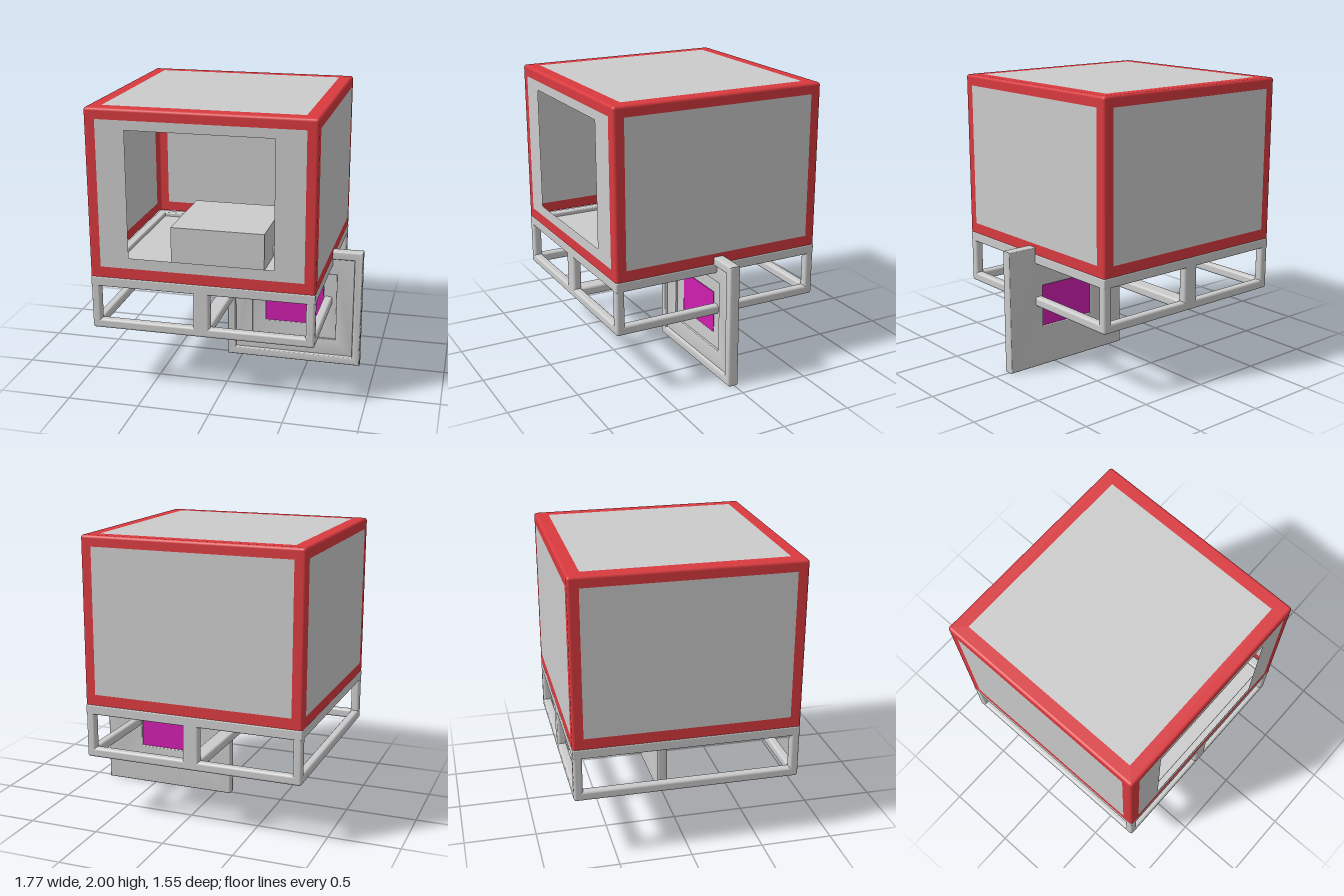
import * as THREE from 'three';
import { toCreasedNormals } from 'three/addons/utils/BufferGeometryUtils.js';
import { RoundedBoxGeometry } from 'three/addons/geometries/RoundedBoxGeometry.js';

const material = (color) => new THREE.MeshStandardMaterial({ color, side: THREE.DoubleSide });
const grey = material(0xcccccc), red = material(0xd93a3f), magenta = material(0xd01fb0);

const HALF = 0.777, SPLIT = 0.83, TOP = 2, R = 0.02;

function add(parent, name, geometry, mat, x = 0, y = 0, z = 0) {
  const mesh = new THREE.Mesh(geometry, mat);
  mesh.name = name;
  mesh.position.set(x, y, z);
  parent.add(mesh);
  return mesh;
}

// rectangle shape with an optional rectangular hole, each [x0, y0, x1, y1]
function rect([x0, y0, x1, y1], hole) {
  const corners = [[x0, y0], [x1, y0], [x1, y1], [x0, y1]].map(([x, y]) => new THREE.Vector2(x, y));
  const shape = new THREE.Shape(corners);
  if (hole) shape.holes.push(rect(hole));
  return shape;
}
const centred = (w, h) => [-w, -h, w, h];

// rounded bar given by its limits
function bar(parent, name, x0, x1, y0, y1, z0, z1, r = 0.018) {
  const geometry = new RoundedBoxGeometry(x1 - x0, y1 - y0, z1 - z0, 3, r);
  return add(parent, name, geometry, grey, (x0 + x1) / 2, (y0 + y1) / 2, (z0 + z1) / 2);
}

// plate with softened edges between z0 and z1
function plate(shape, z0, z1, b) {
  const geometry = new THREE.ExtrudeGeometry(shape, {
    depth: z1 - z0 - 2 * b, bevelEnabled: true, bevelThickness: b, bevelSize: b, bevelOffset: -b, bevelSegments: 3,
  });
  return toCreasedNormals(geometry.translate(0, 0, z0 + b), 0.7);
}

// only the rounded edges of a box: flat faces and the lower rounding are left out
function roundedEdges() {
  const bottom = SPLIT - R;
  const box = new RoundedBoxGeometry(2 * HALF, TOP - bottom, 2 * HALF, 3, R);
  box.translate(0, (TOP + bottom) / 2, 0);
  const p = box.attributes.position, n = box.attributes.normal;
  const positions = [], normals = [];
  for (let i = 0; i < p.count; i += 3) {
    const ids = [i, i + 1, i + 2];
    const flat = ids.every((k) => Math.max(Math.abs(n.getX(k)), Math.abs(n.getY(k)), Math.abs(n.getZ(k))) > 0.999);
    const low = ids.every((k) => p.getY(k) < SPLIT + 0.0001);
    if (flat || low) continue;
    for (const k of ids) {
      positions.push(p.getX(k), p.getY(k), p.getZ(k));
      normals.push(n.getX(k), n.getY(k), n.getZ(k));
    }
  }
  const geometry = new THREE.BufferGeometry();
  geometry.setAttribute('position', new THREE.Float32BufferAttribute(positions, 3));
  geometry.setAttribute('normal', new THREE.Float32BufferAttribute(normals, 3));
  return geometry;
}

// thin-walled upper cabin with red borders
function buildCabin() {
  const cabin = new THREE.Group();
  cabin.name = 'cabin';
  add(cabin, 'roundedEdges', roundedEdges(), red);

  const w = HALF - R, pw = HALF - 0.075;
  const panel = [-pw, 0.905, pw, 1.925];
  const border = new THREE.ShapeGeometry(rect([-w, SPLIT, w, TOP - R], panel));
  ['front', 'right', 'back', 'left'].forEach((side, i) => {
    const wall = new THREE.Group();
    wall.name = side + 'Wall';
    wall.rotation.y = i * Math.PI / 2;
    cabin.add(wall);
    const opening = i === 0 ? [-0.5, 0.98, 0.5, 1.86] : undefined;
    add(wall, 'wallBorder', border, red, 0, 0, HALF);
    add(wall, 'wallPanel', new THREE.ShapeGeometry(rect(panel, opening)), grey, 0, 0, HALF);
  });

  const roofPanel = centred(HALF - 0.095, HALF - 0.095);
  const roofParts = [['roofBorder', rect(centred(w, w), roofPanel), red], ['roofPanel', rect(roofPanel), grey]];
  for (const [name, shape, mat] of roofParts) {
    add(cabin, name, new THREE.ShapeGeometry(shape).rotateX(-Math.PI / 2), mat, 0, TOP, 0);
  }

  // floor and the block standing on it
  const f = 2 * HALF - 0.06;
  add(cabin, 'floor', new THREE.BoxGeometry(f, 0.03, f), grey, 0, 0.785, 0);
  add(cabin, 'innerBlock', new THREE.BoxGeometry(0.68, 0.27, 0.68), grey, 0, 0.935, 0);
  return cabin;
}

// open frame below the cabin
function buildBase() {
  const base = new THREE.Group();
  base.name = 'baseFrame';
  const inner = HALF - 0.062;
  for (const s of [-1, 1]) {
    const [a, b] = s > 0 ? [inner, HALF] : [-HALF, -inner];
    for (const [level, y0, y1, r] of [['bottom', 0.45, 0.517, 0.018], ['top', 0.76, SPLIT, 0.01]]) {
      bar(base, level + 'CrossRail', -HALF, HALF, y0, y1, a, b, r);
      bar(base, level + 'SideRail', a, b, y0, y1, -HALF, HALF, r);
    }
    bar(base, 'middlePost', -0.0575, 0.0575, 0.45, SPLIT - 0.005, a, b);
    for (const t of [-1, 1]) {
      const [c, d] = t > 0 ? [inner, HALF] : [-HALF, -inner];
      bar(base, 'cornerPost', c, d, 0.45, SPLIT, a, b);
    }
  }
  bar(base, 'middleBeam', -0.0575, 0.0575, 0.45, 0.517, -HALF + 0.01, HALF - 0.01);
  return base;
}

// upright stepped board with a coloured centre
function buildBoard() {
  const board = new THREE.Group();
  board.name = 'board';
  const outer = centred(0.4975, 0.44), rimInner = centred(0.4375, 0.3775);
  const step = centred(0.3125, 0.255), centre = centred(0.215, 0.15);
  add(board, 'boardBack', plate(rect(outer, centre), -0.03, 0.005, 0.008), grey);
  add(board, 'boardRim', plate(rect(outer, rimInner), -0.029, 0.045, 0.012), grey);
  add(board, 'boardStep', plate(rect(centred(0.445, 0.385), step), -0.01, 0.022, 0.004), grey);
  add(board, 'boardCentre', new THREE.BoxGeometry(0.43, 0.3, 0.025), magenta, 0, 0, -0.007);
  return board;
}

export function createModel() {
  const model = new THREE.Group();
  model.name = 'model';
  const body = new THREE.Group();
  body.name = 'body';
  body.position.x = -0.11;
  body.add(buildCabin(), buildBase());
  const board = buildBoard();
  board.position.set(0.3875, 0.44, 0);
  model.add(body, board);
  return model;
}
